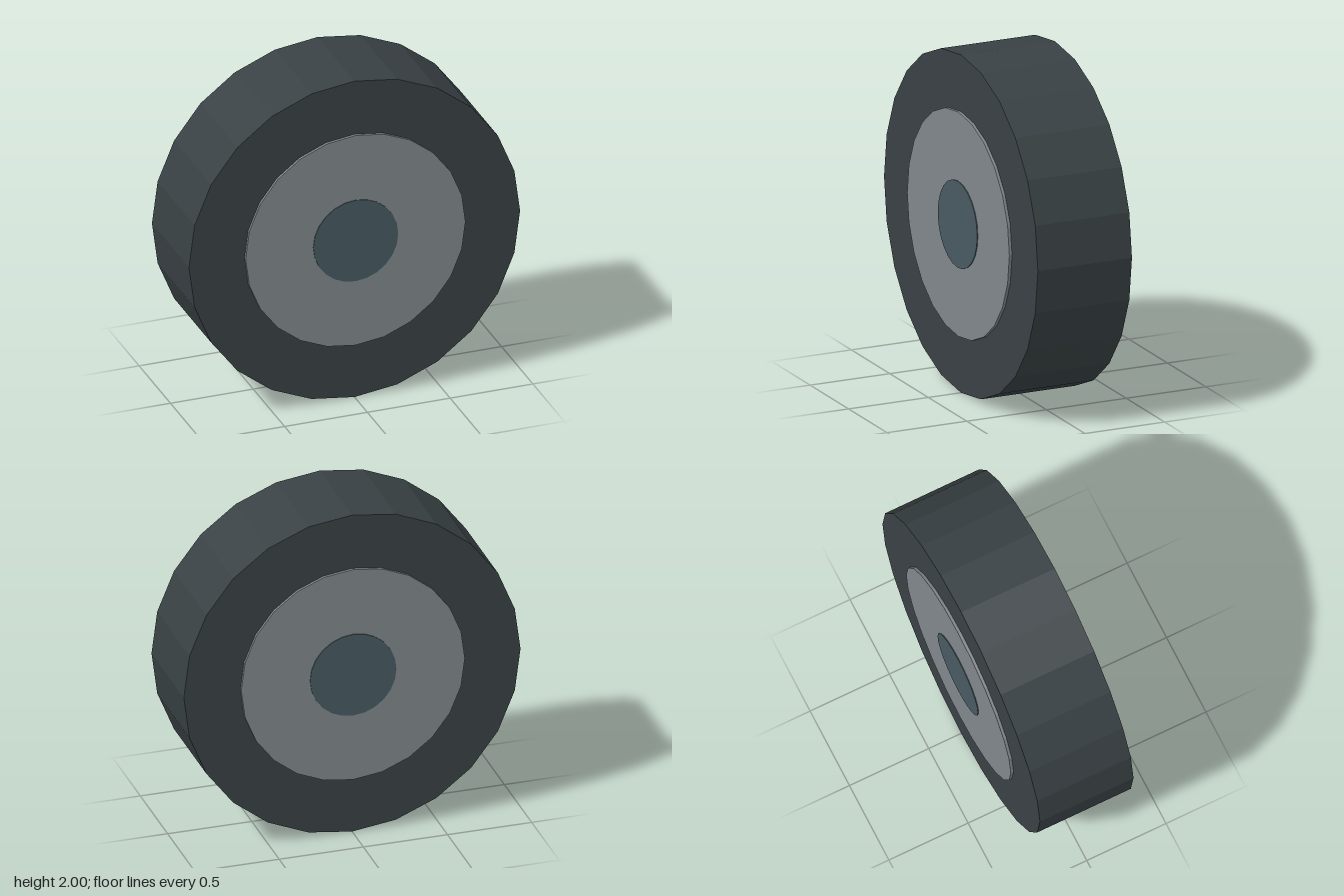
import * as THREE from 'three';

const SIDES = 24;

// Flat-shaded disc lying along the z axle
function disc(name, radius, depth, color) {
  const geometry = new THREE.CylinderGeometry(radius, radius, depth, SIDES).rotateX(Math.PI / 2);
  const mesh = new THREE.Mesh(geometry, new THREE.MeshStandardMaterial({ color, flatShading: true }));
  mesh.name = name;
  mesh.position.y = 1;
  return mesh;
}

export function createModel() {
  const wheel = new THREE.Group();
  wheel.name = 'wheel';
  wheel.add(
    disc('tyre', 1, 0.59, 0x394144),      // wide dark tread
    disc('rim', 0.664, 0.624, 0x80878b),  // slightly proud on both faces
    disc('hubCap', 0.256, 0.634, 0x475a61) // centre cap, proud of the rim
  );
  return wheel;
}
